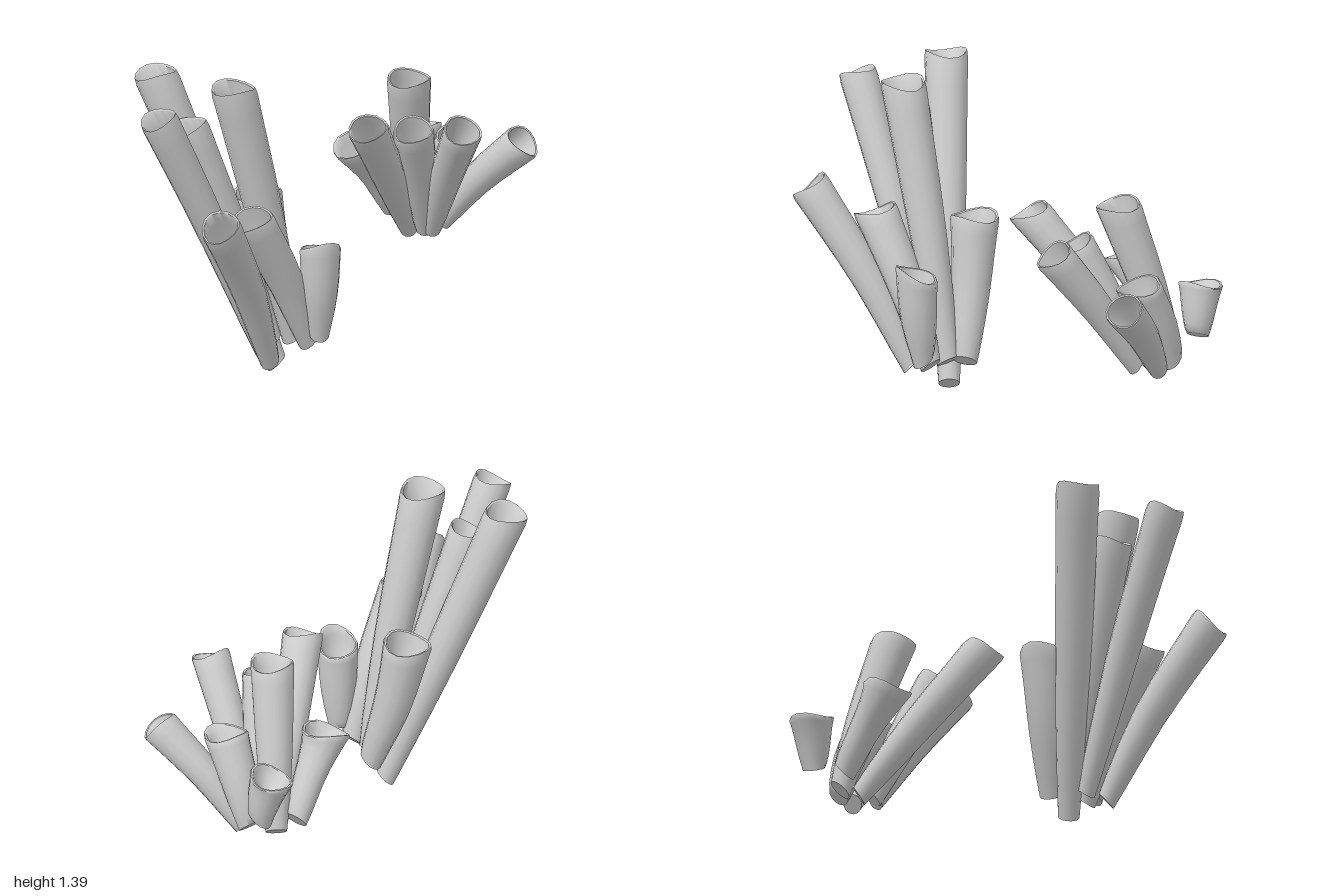
import * as THREE from 'three';
import { toCreasedNormals } from 'three/addons/utils/BufferGeometryUtils.js';

const SIDES = 14;

// Cross-sections: [position along the tube, share of mouth radius],
// running from the closed base, up the wall, over the lip and down the funnel.
const PROFILE = [
  [0, 0.002], [0, 0.5], [0.12, 0.61], [0.28, 0.73], [0.45, 0.83], [0.62, 0.9],
  [0.78, 0.95], [0.9, 0.99], [0.975, 1.02], [1, 0.98], [0.995, 0.89],
  [0.93, 0.82], [0.8, 0.65], [0.5, 0.002],
];

// base point, mouth centre, mouth radius, bend (0.5 = straight, lower = flares
// outward at the top), levelling of the rim (0 = square to the tube), waist pinch
const FRONT = [
  [[0.06, 0.17, 0.215], [-0.09, 0.79, 0.285], 0.105, 0.6, 0.1, 0.06],
  [[0.275, 0.22, 0.272], [0.3, 0.64, 0.29], 0.088, 0.7, 0.45, -0.06],
  [[0.055, 0.037, 0.31], [-0.345, 1.375, 0.66], 0.093, 0.5, 0.2, 0],
  [[0.05, 0.15, 0.33], [-0.12, 1.19, 0.68], 0.085, 0.48, 0, 0],
  [[0.11, 0.17, 0.27], [0.05, 1.385, 0.575], 0.096, 0.48, 0.25, 0],
  [[0.215, 0.18, 0.28], [0.195, 0.82, 0.61], 0.094, 0.42, 0.2, 0],
  [[0.06, 0.13, 0.4], [-0.06, 1.305, 0.925], 0.082, 0.47, 0.05, 0],
  [[0.145, 0.11, 0.445], [0.295, 0.89, 0.9], 0.087, 0.43, -0.1, 0],
];
const BACK = [
  [[-0.195, 0.51, -0.885], [-0.24, 0.735, -0.865], 0.096, 0.35, 0, 0.08],
  [[-0.09, 0.41, -0.83], [0.08, 0.8, -0.78], 0.095, 0.42, 0.35, 0],
  [[-0.03, 0.38, -0.8], [0.345, 0.81, -0.92], 0.083, 0.42, 0.1, 0],
  [[-0.18, 0.38, -0.755], [-0.02, 1.1, -0.58], 0.095, 0.48, 0.25, 0],
  [[-0.235, 0.43, -0.69], [-0.225, 0.77, -0.46], 0.104, 0.46, 0.4, 0.22],
  [[-0.03, 0.38, -0.69], [0.13, 0.93, -0.455], 0.088, 0.46, 0.1, 0],
  [[0, 0.38, -0.7], [0.36, 0.97, -0.53], 0.084, 0.45, 0.1, 0],
  [[-0.13, 0.35, -0.69], [0.115, 1.005, -0.19], 0.087, 0.48, 0.42, 0],
];

// Hollow flared tube swept along a gentle curve, with an oblique base and a wavy mouth
function tubeGeometry([base, mouth, radius, bend, level, pinch], phase) {
  const a = new THREE.Vector3(...base), b = new THREE.Vector3(...mouth);
  const mid = a.clone().lerp(b, 0.5);
  mid.x = a.x + (b.x - a.x) * bend;
  mid.z = a.z + (b.z - a.z) * bend;
  const curve = new THREE.CatmullRomCurve3([a, mid, b]);
  const lean = new THREE.Vector3(b.x - a.x, 0, b.z - a.z).normalize();

  const positions = [], index = [];
  for (const [t, share] of PROFILE) {
    const centre = curve.getPointAt(t), axis = curve.getTangentAt(t);
    const v = new THREE.Vector3().crossVectors(axis, new THREE.Vector3(1, 0, 0)).normalize();
    const u = new THREE.Vector3().crossVectors(v, axis);
    const r = radius * share * (1 - pinch * Math.sin(Math.PI * t));
    const rim = Math.max(0, (t - 0.8) / 0.2), foot = Math.max(0, 1 - t / 0.12);
    const tilt = level * rim - 0.45 * foot;
    for (let j = 0; j < SIDES; j++) {
      const angle = (j / SIDES) * Math.PI * 2;
      const radial = u.clone().multiplyScalar(Math.cos(angle) * r)
        .addScaledVector(v, Math.sin(angle) * r);
      const shift = tilt * radial.dot(lean) + rim * 0.12 * radius * Math.cos(2 * angle + phase);
      const p = centre.clone().add(radial).addScaledVector(axis, shift);
      positions.push(p.x, p.y, p.z);
    }
  }
  for (let i = 0; i < PROFILE.length - 1; i++) {
    for (let j = 0; j < SIDES; j++) {
      const k = (j + 1) % SIDES;
      const p = i * SIDES + j, q = i * SIDES + k;
      index.push(p, q, p + SIDES, q, q + SIDES, p + SIDES);
    }
  }
  const geometry = new THREE.BufferGeometry();
  geometry.setAttribute('position', new THREE.Float32BufferAttribute(positions, 3));
  geometry.setIndex(index);
  return toCreasedNormals(geometry, 0.9);
}

function cluster(name, tubes, material) {
  const group = new THREE.Group();
  group.name = name;
  tubes.forEach((tube, i) => {
    const mesh = new THREE.Mesh(tubeGeometry(tube, (i % 3) * 0.5), material);
    mesh.name = `${name}Tube${i + 1}`;
    group.add(mesh);
  });
  return group;
}

export function createModel() {
  const material = new THREE.MeshStandardMaterial({ color: 0xcccccc, side: THREE.DoubleSide });
  const model = new THREE.Group();
  model.name = 'tubeSponges';
  model.add(cluster('frontCluster', FRONT, material), cluster('backCluster', BACK, material));
  // Stand on the ground
  model.position.y = -new THREE.Box3().setFromObject(model, true).min.y;
  return model;
}
